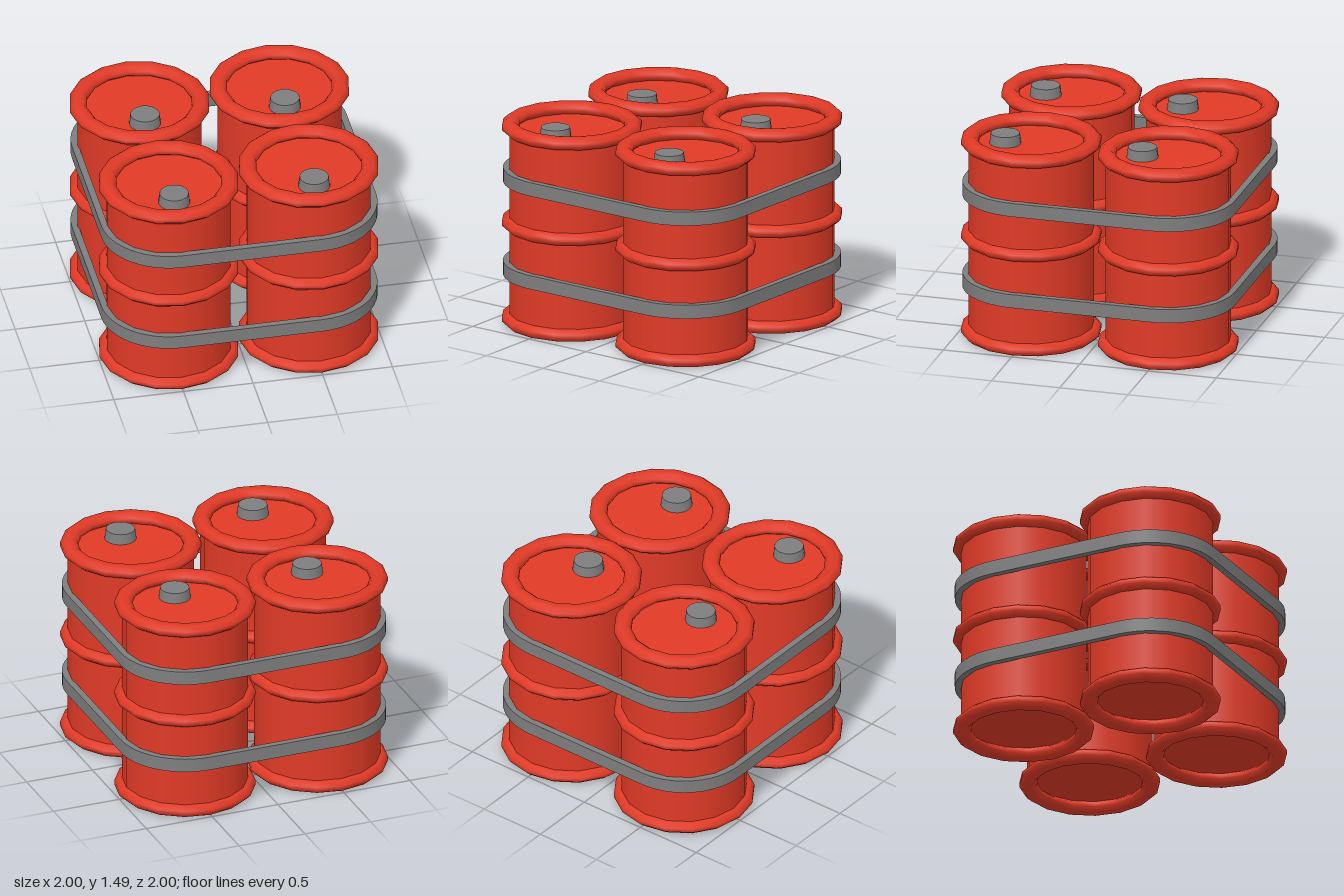
import * as THREE from 'three';
import { toCreasedNormals } from 'three/addons/utils/BufferGeometryUtils.js';

const SIDES = 16;
const SPACING = 0.5025; // barrel centre offset in x and z

// Closed octagonal hoop turned around the barrel axis, centred on y = 0
function hoopGeometry() {
  const profile = [
    [0.497, -0.014], [0.497, 0.014], [0.466, 0.042], [0.406, 0.042],
    [0.375, 0.014], [0.375, -0.014], [0.406, -0.042], [0.466, -0.042], [0.497, -0.014],
  ].map(([r, y]) => new THREE.Vector2(r, y));
  return toCreasedNormals(new THREE.LatheGeometry(profile, SIDES), 0.9);
}

// Rounded square outline with corners concentric to the barrels
function outline(path, radius) {
  const c = SPACING;
  path.absarc(c, c, radius, 0, Math.PI / 2);
  path.absarc(-c, c, radius, Math.PI / 2, Math.PI);
  path.absarc(-c, -c, radius, Math.PI, Math.PI * 1.5);
  path.absarc(c, -c, radius, Math.PI * 1.5, Math.PI * 2);
  path.closePath();
  return path;
}

function strapGeometry() {
  const shape = outline(new THREE.Shape(), 0.484);
  shape.holes.push(outline(new THREE.Path(), 0.436));
  const geo = new THREE.ExtrudeGeometry(shape, { depth: 0.1, bevelEnabled: false, curveSegments: 6 });
  geo.rotateX(-Math.PI / 2).translate(0, -0.05, 0);
  return toCreasedNormals(geo, 0.6);
}

export function createModel() {
  const red = new THREE.MeshStandardMaterial({ color: 0xe03a26 });
  red.name = 'barrelRed';
  const grey = new THREE.MeshStandardMaterial({ color: 0x7e7e7e });
  grey.name = 'strapGrey';

  const add = (parent, name, geo, mat, x, y, z) => {
    const mesh = new THREE.Mesh(geo, mat);
    mesh.name = name;
    mesh.position.set(x, y, z);
    parent.add(mesh);
  };

  const bodyGeo = new THREE.CylinderGeometry(0.443, 0.443, 1.33, SIDES);
  const hoopGeo = hoopGeometry();
  const bungGeo = new THREE.CylinderGeometry(0.103, 0.113, 0.08, SIDES);
  const strapGeo = strapGeometry();

  const model = new THREE.Group();
  model.name = 'strappedBarrels';

  // Four barrels, each with three hoops and a bung near the front of its lid
  for (const x of [-SPACING, SPACING]) {
    for (const z of [-SPACING, SPACING]) {
      const barrel = new THREE.Group();
      barrel.name = 'barrel';
      barrel.position.set(x, 0, z);
      add(barrel, 'body', bodyGeo, red, 0, 0.745, 0);
      add(barrel, 'bottomHoop', hoopGeo, red, 0, 0.042, 0);
      add(barrel, 'middleHoop', hoopGeo, red, 0, 0.747, 0);
      add(barrel, 'topHoop', hoopGeo, red, 0, 1.449, 0);
      add(barrel, 'bung', bungGeo, grey, 0, 1.445, 0.19);
      model.add(barrel);
    }
  }

  // Two straps around the whole bundle
  add(model, 'lowerStrap', strapGeo, grey, 0, 0.412, 0);
  add(model, 'upperStrap', strapGeo, grey, 0, 1.096, 0);
  return model;
}
